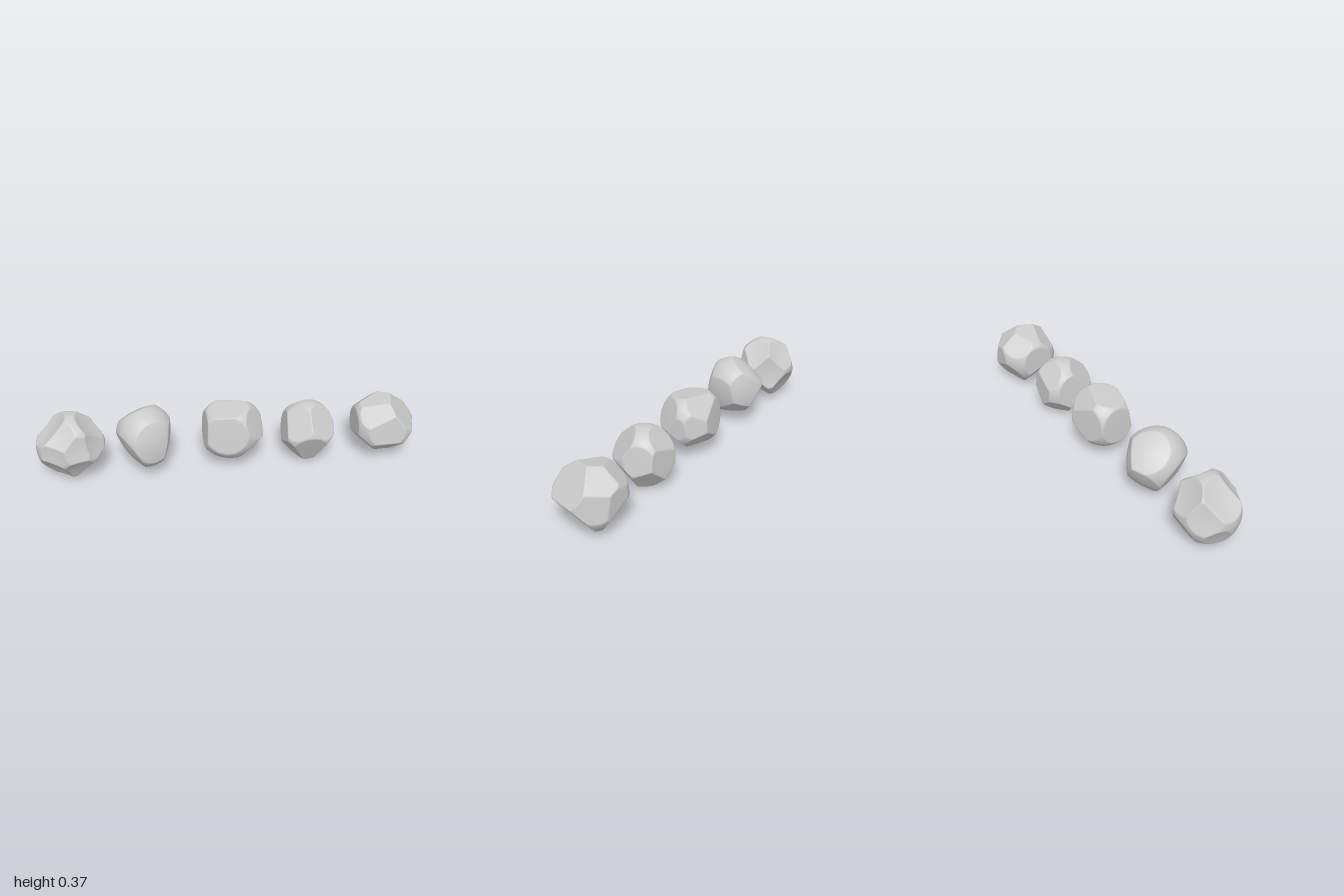
import * as THREE from 'three';
import { mergeVertices } from 'three/addons/utils/BufferGeometryUtils.js';

const stone = new THREE.MeshStandardMaterial({ color: 0xcccccc });
const rad = THREE.MathUtils.degToRad;

// Chisel cut facing an azimuth (0 = front, 90 = left side) and an elevation, in degrees,
// at a given distance from the middle of the unit sphere
function makeCut([azimuth, elevation, depth = 0.84]) {
  return { normal: new THREE.Vector3().setFromSphericalCoords(1, rad(90 - elevation), rad(azimuth)), depth };
}

// An ellipsoid faceted by chisel cuts.
// power shapes the facets: 1 = flat, below 1 = bulging, above 1 = dished.
function boulder(name, center, radii, power, cutList) {
  const cuts = cutList.map(makeCut);
  const sphere = new THREE.IcosahedronGeometry(1, 36);
  sphere.deleteAttribute('normal');
  sphere.deleteAttribute('uv');
  const geo = mergeVertices(sphere, 1e-5);

  const pos = geo.attributes.position;
  const v = new THREE.Vector3();
  for (let i = 0; i < pos.count; i++) {
    v.fromBufferAttribute(pos, i);
    let r = 1;
    for (const { normal, depth } of cuts) {
      const c = normal.dot(v);
      if (c > 0) r = Math.min(r, depth / Math.pow(c, power));
    }
    v.multiplyScalar(r).multiply(radii);
    pos.setXYZ(i, v.x, v.y, v.z);
  }
  geo.computeVertexNormals();

  const mesh = new THREE.Mesh(geo, stone);
  mesh.name = name;
  mesh.position.copy(center);
  return mesh;
}

export function createModel() {
  const group = new THREE.Group();
  group.name = 'boulderRow';
  const vec = (x, y, z) => new THREE.Vector3(x, y, z);

  // Many small dished facets, peaked top and a point on the left side
  group.add(boulder('craggyBoulder', vec(-0.825, 0.181, 0), vec(0.176, 0.179, 0.163), 1.3, [
    [85, 45, 0.8], [-85, 48, 0.73], [-25, 42], [16, 14, 0.88], [-31, 5, 0.88], [-38, -38, 0.8],
    [17, -32], [55, 15, 0.86], [78, -45, 0.7], [0, -85], [-135, 15], [128, 6, 0.78],
    [169, 40, 0.8], [173, -30], [-110, -25, 0.9],
  ]));

  // Few broad, bulging facets
  group.add(boulder('smoothBoulder', vec(-0.438, 0.2, -0.003), vec(0.153, 0.166, 0.17), 0.6, [
    [20, 10], [-62, -28, 0.8], [80, -9], [-150, 50], [150, 5], [-161, -30], [121, -52],
  ]));

  // Flat top and base, with a blunt left end
  group.add(boulder('wedgeBoulder', vec(0.014, 0.2, -0.009), vec(0.175, 0.165, 0.156), 0.95, [
    [-16, 11, 0.78], [-166, 6, 0.8], [-87, 3, 0.8], [0, -87, 0.8], [-50, 81, 0.8], [60, 22, 0.86],
    [95, 0, 0.93], [65, -45, 0.83], [135, 6, 0.92], [155, -44], [163, 48],
  ]));

  // Upright ridge between two roof facets, pointed base
  group.add(boulder('ridgedBoulder', vec(0.421, 0.163, 0.004), vec(0.149, 0.163, 0.159), 1, [
    [-42, 38, 0.82], [45, 38, 0.8], [0, -27, 0.78], [-60, -36, 0.83], [62, -34, 0.82], [-90, 6, 0.8],
    [112, 12, 0.87], [-170, 42], [174, 3, 0.8], [-141, -44], [135, -38],
  ]));

  // Squarish plan, two large facets meeting in an edge on the left side
  group.add(boulder('bluntBoulder', vec(0.84, 0.171, 0), vec(0.178, 0.178, 0.174), 1, [
    [70, 41, 0.71], [75, -37, 0.71], [90, -84, 0.8], [138, 8, 0.86], [148, 49, 0.82], [-5, 10],
    [-30, 45], [0, -48, 0.8], [-90, 0, 0.86], [-70, -42, 0.8], [-80, 75], [-140, 45, 0.87],
    [-166, -34], [175, 0, 0.9],
  ]));

  return group;
}
